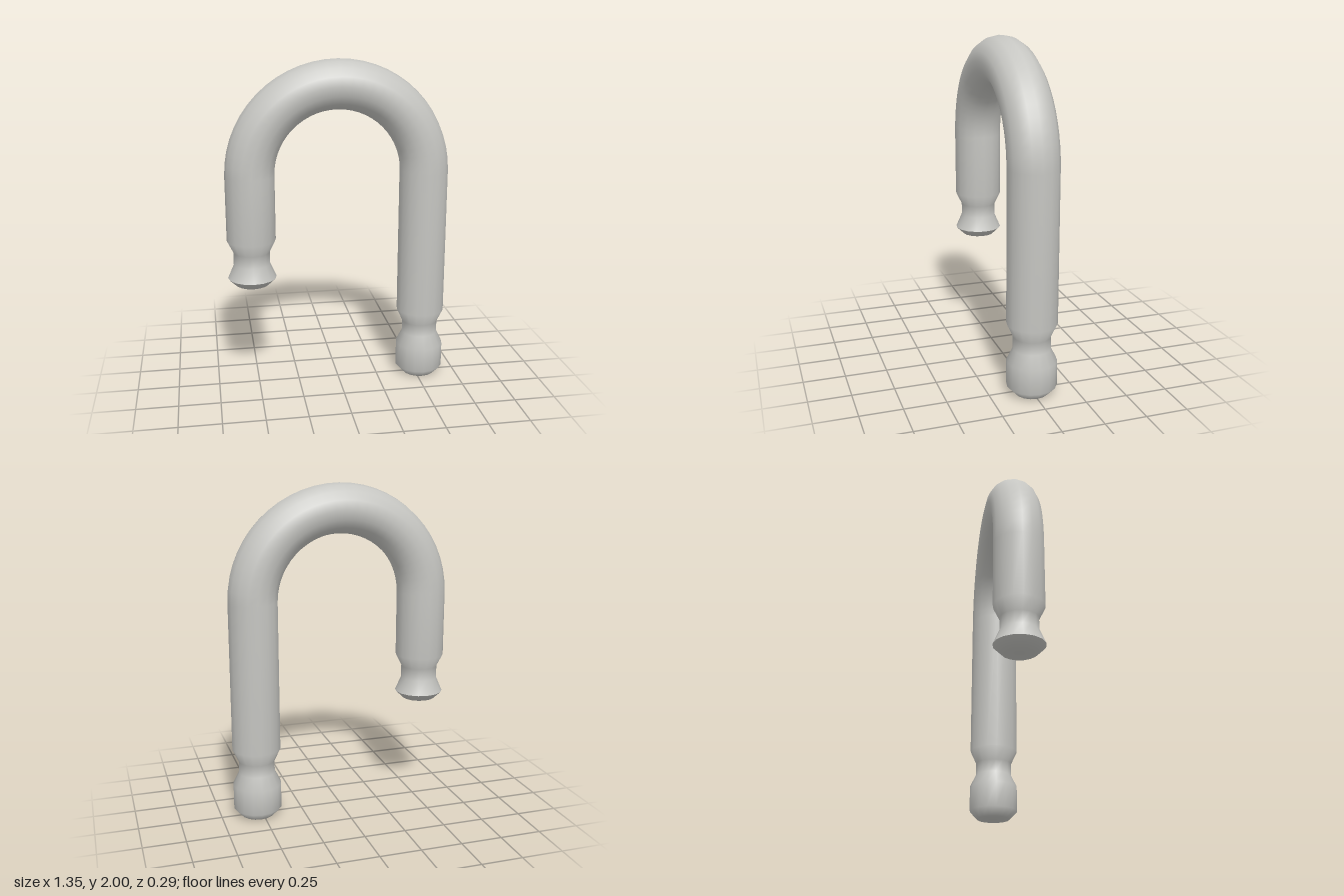
import * as THREE from 'three';

const SIDES = 16;
const BEND = 0.526;      // radius of the arch centre line
const ARCH_Y = 1.327;    // height where the arch starts
const R = 0.147;         // bar radius
const NECK = 0.11;       // radius inside the locking notches
const TIP = 0.1;         // radius of the flat ends

// Ring on the bar: angle 0 is the long leg, PI the short leg
const legRing = (angle, y, r) => ({ angle, x: BEND * Math.cos(angle), y, r });
const archRing = (angle) => ({
  angle, x: BEND * Math.cos(angle), y: ARCH_Y + BEND * Math.sin(angle), r: R,
});

// Smooth skin over a row of round rings
function loft(rings) {
  const positions = [];
  const index = [];
  rings.forEach(({ angle, x, y, r }, i) => {
    for (let j = 0; j < SIDES; j++) {
      const phi = (j / SIDES) * Math.PI * 2;
      const out = r * Math.cos(phi);
      positions.push(x + out * Math.cos(angle), y + out * Math.sin(angle), r * Math.sin(phi));
      if (i === rings.length - 1) continue;
      const a = i * SIDES + j;
      const b = i * SIDES + ((j + 1) % SIDES);
      index.push(a, a + SIDES, b, b, a + SIDES, b + SIDES);
    }
  });
  const geometry = new THREE.BufferGeometry();
  geometry.setAttribute('position', new THREE.Float32BufferAttribute(positions, 3));
  geometry.setIndex(index);
  geometry.computeVertexNormals();
  return geometry;
}

export function createModel() {
  const group = new THREE.Group();
  group.name = 'shackle';
  const steel = new THREE.MeshStandardMaterial({ color: 0xc6c6c2 });
  steel.name = 'steel';

  const add = (name, rings) => {
    const mesh = new THREE.Mesh(loft(rings), steel);
    mesh.name = name;
    group.add(mesh);
  };

  // Long leg with notch, arch, short leg with notch
  const longLeg = [[0, 0], [0, TIP], [0.05, R], [0.2, R], [0.275, NECK], [0.35, NECK], [0.43, R]];
  const shortLeg = [[0.935, R], [0.86, NECK], [0.785, NECK], [0.7, R]];
  const arch = [];
  const steps = 28;
  for (let i = 0; i <= steps; i++) arch.push(archRing((i / steps) * Math.PI));
  add('bar', [
    ...longLeg.map(([y, r]) => legRing(0, y, r)),
    ...arch,
    ...shortLeg.map(([y, r]) => legRing(Math.PI, y, r)),
  ]);

  // Bevelled end of the short leg, with a sharp rim
  const tip = [[0.7, R], [0.655, TIP], [0.655, 0]];
  add('shortLegTip', tip.map(([y, r]) => legRing(Math.PI, y, r)));

  return group;
}
